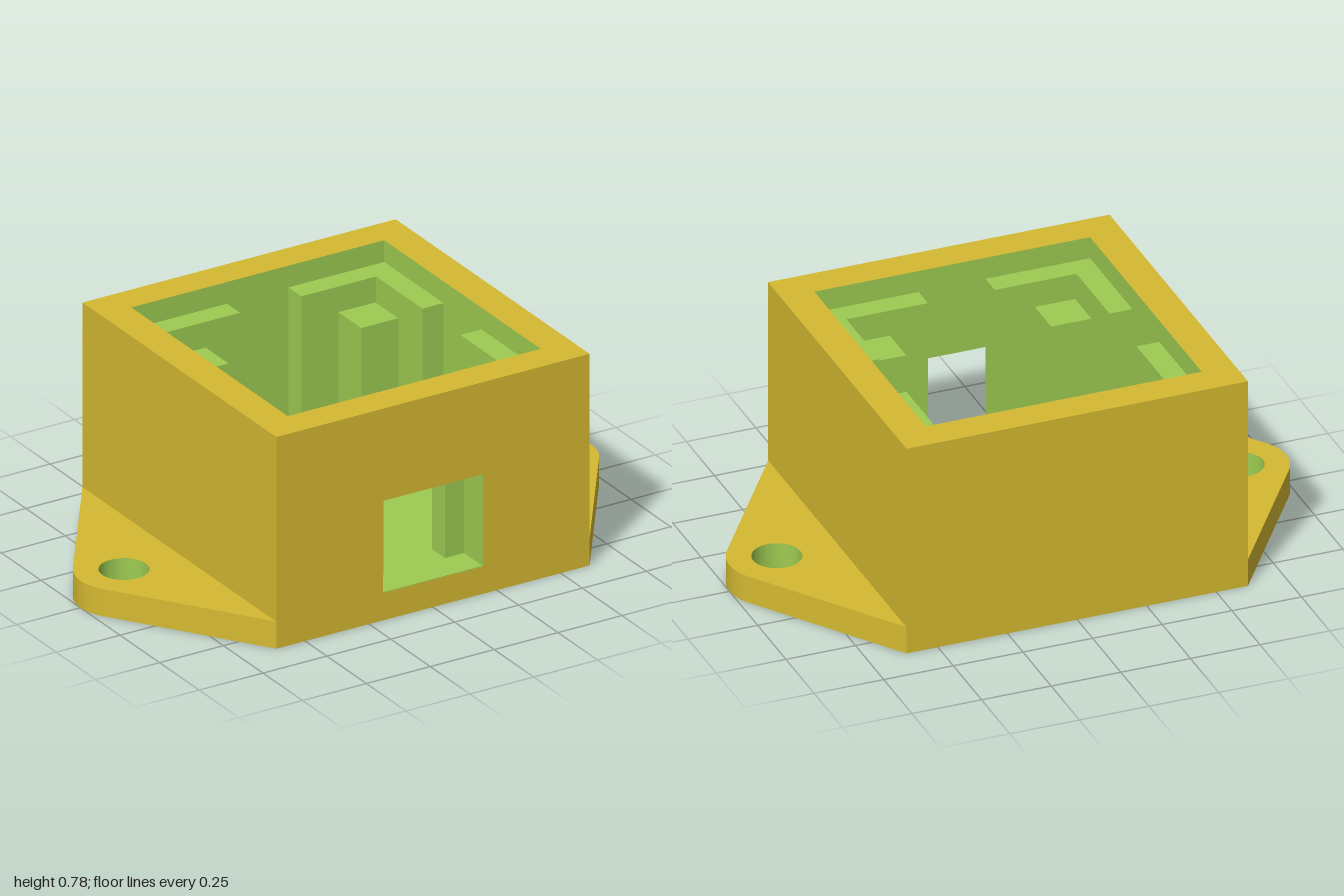
import * as THREE from 'three';
import { toCreasedNormals } from 'three/addons/utils/BufferGeometryUtils.js';

const HALF = 0.613, INNER = 0.495, FLOOR = 0.1, TOP = 0.78;
const EAR_X = 0.83, EAR_R = 0.17, EAR_HOLE = 0.085;
const DRAIN_Z = -0.42, DRAIN_R = 0.064;

const polygon = (points) => new THREE.Shape(points.map(([x, y]) => new THREE.Vector2(x, y)));

function hole(x, y, r) {
  return new THREE.Path().absarc(x, y, r, 0, Math.PI * 2, true);
}

// Extrude a plan shape (shape y points to the back) upward from y0 to y1
function upright(shape, y0, y1) {
  const geo = new THREE.ExtrudeGeometry(shape, { depth: y1 - y0, bevelEnabled: false, curveSegments: 32 });
  geo.rotateX(-Math.PI / 2).translate(0, y0, 0);
  return toCreasedNormals(geo, 0.4);
}

// Give triangles material 1 where the rule holds for their centre, else material 0
function paint(geo, isCut) {
  const p = geo.attributes.position;
  const c = new THREE.Vector3(), v = new THREE.Vector3();
  geo.clearGroups();
  let start = 0, last = -1;
  for (let i = 0; i < p.count; i += 3) {
    c.set(0, 0, 0);
    for (let k = 0; k < 3; k++) c.add(v.fromBufferAttribute(p, i + k));
    c.divideScalar(3);
    const m = isCut(c) ? 1 : 0;
    if (m !== last) {
      if (last >= 0) geo.addGroup(start, i - start, last);
      start = i;
      last = m;
    }
  }
  geo.addGroup(start, p.count - start, last);
  return geo;
}

export function createModel() {
  const model = new THREE.Group();
  model.name = 'sensorHousing';
  const gold = new THREE.MeshStandardMaterial({ color: 0xd5b931 });
  gold.name = 'gold shell';
  const green = new THREE.MeshStandardMaterial({ color: 0x9dcb51 });
  green.name = 'green cut surface';

  const add = (name, geo, mat, parent = model) => {
    const mesh = new THREE.Mesh(geo, mat);
    mesh.name = name;
    parent.add(mesh);
    return mesh;
  };

  // Base plate: square running into two rounded mounting ears
  const dx = HALF - EAR_X;
  const a = Math.atan2(HALF, dx) - Math.acos(EAR_R / Math.hypot(dx, HALF));
  const plate = new THREE.Shape();
  plate.moveTo(-HALF, -HALF);
  plate.lineTo(HALF, -HALF);
  plate.absarc(EAR_X, 0, EAR_R, -a, a, false);
  plate.lineTo(HALF, HALF);
  plate.lineTo(-HALF, HALF);
  plate.absarc(-EAR_X, 0, EAR_R, Math.PI - a, Math.PI + a, false);
  plate.closePath();
  plate.holes.push(hole(EAR_X, 0, EAR_HOLE), hole(-EAR_X, 0, EAR_HOLE), hole(0, -DRAIN_Z, DRAIN_R));
  const nearHole = (c) => Math.hypot(Math.abs(c.x) - EAR_X, c.z) < 0.1 || Math.hypot(c.x, c.z - DRAIN_Z) < 0.1;
  add('basePlate', paint(upright(plate, 0, FLOOR),
    (c) => c.y > 0.001 && c.y < FLOOR - 0.001 && nearHole(c)), [gold, green]);

  // Inner floor, reaching through the window sill
  const floor = polygon([[-INNER, INNER], [-INNER, -INNER], [-0.195, -INNER], [-0.195, -HALF + 0.001],
    [0.195, -HALF + 0.001], [0.195, -INNER], [INNER, -INNER], [INNER, INNER]]);
  floor.holes.push(hole(0, -DRAIN_Z, DRAIN_R));
  add('innerFloor', upright(floor, FLOOR, FLOOR + 0.003), green);

  // Side and back walls
  const inside = (c) => Math.abs(c.x) < HALF - 0.002 && Math.abs(c.z) < HALF - 0.002 && c.y < TOP - 0.001;
  const uShape = polygon([[-HALF, -INNER], [-INNER, -INNER], [-INNER, INNER], [INNER, INNER],
    [INNER, -INNER], [HALF, -INNER], [HALF, HALF], [-HALF, HALF]]);
  add('sideAndBackWalls', paint(upright(uShape, FLOOR, TOP), inside), [gold, green]);

  // Front wall with a window opening down to the floor
  const front = polygon([[-HALF, FLOOR], [-0.195, FLOOR], [-0.195, 0.44], [0.195, 0.44],
    [0.195, FLOOR], [HALF, FLOOR], [HALF, TOP], [-HALF, TOP]]);
  const frontGeo = new THREE.ExtrudeGeometry(front, { depth: HALF - INNER, bevelEnabled: false });
  frontGeo.translate(0, 0, INNER);
  add('frontWall', paint(frontGeo, inside), [gold, green]);

  // Four corners, each an L-shaped bracket and a square post
  const bracketShape = polygon([[INNER, INNER], [0.12, INNER], [0.12, 0.413],
    [0.413, 0.413], [0.413, 0.12], [INNER, 0.12]]);
  const bracketGeo = upright(bracketShape, FLOOR, 0.7);
  const postGeo = new THREE.BoxGeometry(0.145, 0.51, 0.145).translate(0.3325, FLOOR + 0.255, -0.3325);
  for (let i = 0; i < 4; i++) {
    const corner = new THREE.Group();
    corner.name = 'cornerSupport' + (i + 1);
    corner.rotation.y = i * Math.PI / 2;
    add('cornerBracket', bracketGeo, green, corner);
    add('supportPost', postGeo, green, corner);
    model.add(corner);
  }
  return model;
}
